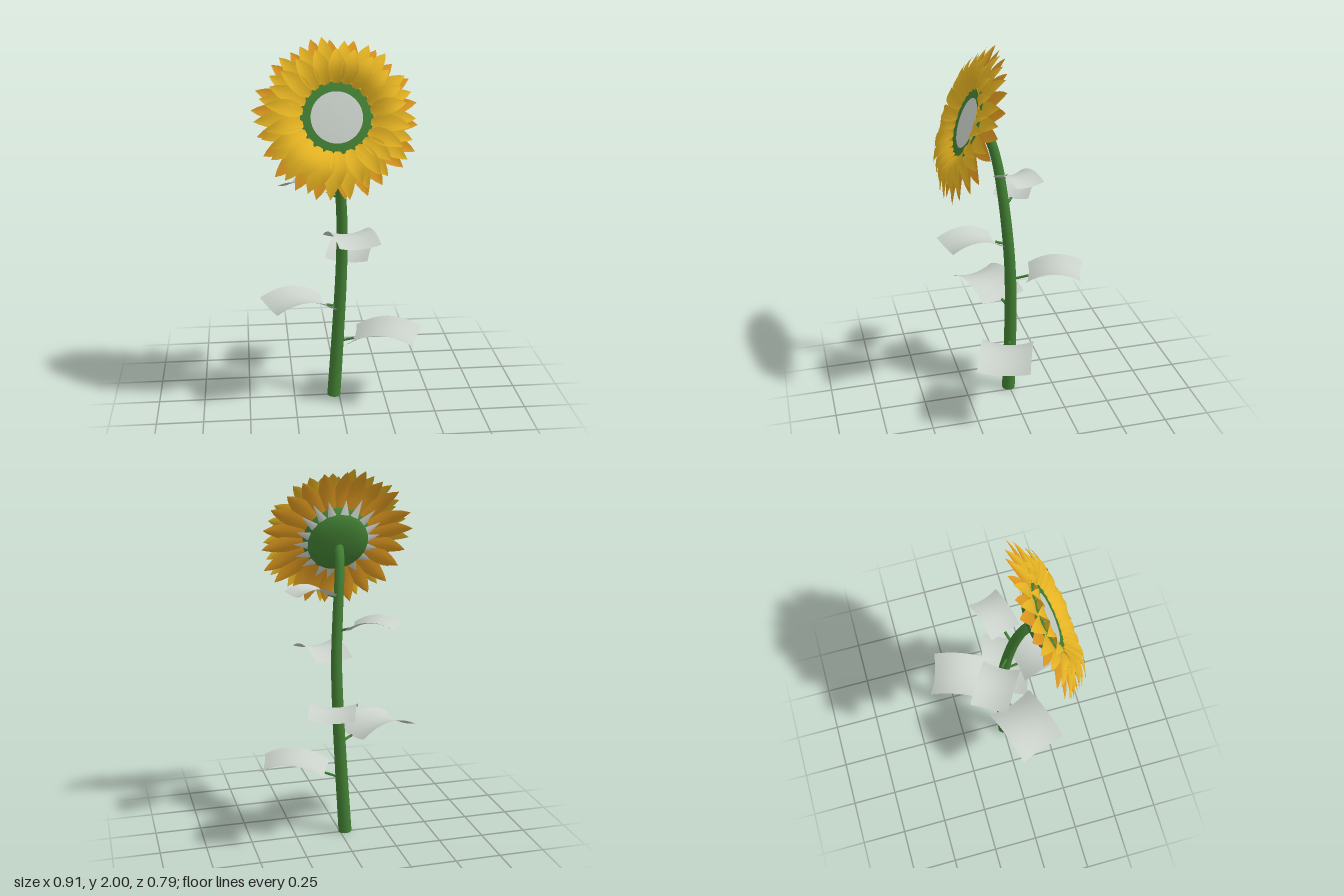
import * as THREE from 'three';
import { mergeGeometries } from 'three/addons/utils/BufferGeometryUtils.js';

const mat = (name, color, open) => {
  const m = new THREE.MeshStandardMaterial({ color });
  m.name = name;
  if (open) m.side = THREE.DoubleSide;
  return m;
};

// Small seeded generator for natural variation, -1..1
let seed = 7;
const jitter = () => {
  seed = (seed * 16807) % 2147483647;
  return (seed / 2147483647) * 2 - 1;
};

// Curved sheet: s runs across (-1..1), t runs along (0..1)
function sheet(across, along, fn) {
  const g = new THREE.PlaneGeometry(1, 1, across, along);
  const p = g.attributes.position;
  for (let i = 0; i < p.count; i++) p.setXYZ(i, ...fn(p.getX(i) * 2, p.getY(i) + 0.5));
  g.computeVertexNormals();
  return g;
}

// Ring of pointed blades around the local z axis
function bladeRing({ count, phase, r0, r1, width, z0, z1, bulge, taper }) {
  const blades = [];
  for (let i = 0; i < count; i++) {
    const end = r1 + jitter() * 0.015;
    const lift = jitter() * 0.008;
    const g = sheet(4, 8, (s, t) => {
      const w = taper ? width * (1 - t) : width * (Math.sin(Math.PI * t ** 0.85) ** 0.8 + 0.35 * (1 - t) ** 2);
      const z = z0 + (z1 - z0 + lift) * t + bulge * Math.sin(Math.PI * t) + s * s * w * 0.15;
      return [s * w, r0 + (end - r0) * t, z];
    });
    g.rotateZ(((i + phase) / count) * Math.PI * 2 + jitter() * 0.04);
    blades.push(g);
  }
  return mergeGeometries(blades);
}

export function createModel() {
  seed = 7;
  const root = new THREE.Group();
  root.name = 'flower';
  const green = mat('stem green', 0x427f33);
  const yellow = mat('petal yellow', 0xe6b422, true);
  const orange = mat('petal orange', 0xe09a20, true);
  const grey = mat('pale grey', 0xc9d0c9, true);
  const add = (parent, name, geometry, material) => {
    const m = new THREE.Mesh(geometry, material);
    m.name = name;
    parent.add(m);
    return m;
  };

  // Stem: bent tube, thinner toward the top
  const path = new THREE.CatmullRomCurve3([
    [-0.03, 0.002, 0.005], [-0.005, 0.4, 0], [0.012, 0.75, 0.004], [0.014, 1.0, 0.02],
    [0, 1.25, 0.045], [-0.015, 1.42, 0.07], [-0.026, 1.54, 0.105], [-0.032, 1.6, 0.15],
  ].map((p) => new THREE.Vector3(...p)));
  const tube = new THREE.TubeGeometry(path, 48, 1, 16);
  const pos = tube.attributes.position, nor = tube.attributes.normal;
  const v = new THREE.Vector3(), n = new THREE.Vector3();
  for (let i = 0; i < pos.count; i++) {
    const t = tube.attributes.uv.getX(i);
    n.fromBufferAttribute(nor, i);
    v.fromBufferAttribute(pos, i).addScaledVector(n, -1 + 0.037 - 0.012 * t);
    pos.setXYZ(i, v.x, v.y, v.z);
  }
  add(root, 'stem', tube, green);
  const cap = add(root, 'stemBase', new THREE.CircleGeometry(0.037, 16), green);
  cap.rotation.x = Math.PI / 2;
  cap.position.set(-0.03, 0.002, 0.005);

  // Leaves: [base x, base z, tip x, tip z, base height, width]
  const leaves = [
    [0.08, 0.03, 0.4, 0.14, 0.35, 0.28],
    [-0.075, 0.03, -0.375, 0.13, 0.555, 0.27],
    [0.05, -0.09, 0.14, -0.35, 0.755, 0.24],
    [0.015, 0.09, 0.07, 0.36, 0.965, 0.22],
    [-0.06, -0.02, -0.26, -0.14, 1.175, 0.195],
    [0.06, 0.03, 0.255, -0.03, 1.355, 0.165],
  ];
  for (const [bx, bz, tx, tz, y, width] of leaves) {
    const length = Math.hypot(tx - bx, tz - bz);
    const k = length / 0.34;
    const g = sheet(8, 12, (s, t) => {
      const height = k * (0.24 * t - 0.215 * t * t);
      const slope = (k * (0.24 - 0.43 * t)) / length;
      const fold = (0.1 * width * s * s) / Math.hypot(1, slope);
      return [s * width / 2, length * t - slope * fold, height + fold];
    });
    g.rotateX(-Math.PI / 2);
    const leaf = add(root, 'leaf', g, grey);
    leaf.position.set(bx, y, bz);
    leaf.rotation.y = Math.atan2(bx - tx, bz - tz);

    // Leaf stalk from the stem to the base of the blade
    const from = path.getPoint(0);
    for (let t = 0; t <= 1; t += 0.005) {
      const q = path.getPoint(t);
      if (q.y < y - 0.02) from.copy(q);
    }
    const to = new THREE.Vector3(bx, y + 0.004, bz);
    add(root, 'leafStalk', new THREE.TubeGeometry(new THREE.LineCurve3(from, to), 1, 0.007, 8), green);
  }

  // Flower head, tilted upward
  const head = new THREE.Group();
  head.name = 'flowerHead';
  head.position.set(-0.032, 1.63, 0.217);
  head.rotation.x = -0.376;
  root.add(head);

  const lathe = (pts) => new THREE.LatheGeometry(pts.map((p) => new THREE.Vector2(...p)), 40);
  const disc = lathe([[0.178, 0], [0.13, 0.004], [0.07, 0.007], [0, 0.008]]);
  add(head, 'seedDisc', disc.rotateX(Math.PI / 2), grey);
  const back = lathe([[0, -0.004], [0.18, -0.004], [0.185, 0.015], [0.178, 0.04], [0.15, 0.068], [0.11, 0.087], [0.06, 0.097], [0, 0.1]]);
  add(head, 'receptacle', back.rotateX(-Math.PI / 2), green);

  add(head, 'innerPetals', bladeRing({ count: 22, phase: 0, r0: 0.17, r1: 0.355, width: 0.038, z0: 0.004, z1: 0.028, bulge: 0.032 }), yellow);
  add(head, 'middlePetals', bladeRing({ count: 22, phase: 0.5, r0: 0.17, r1: 0.4, width: 0.042, z0: -0.008, z1: -0.015, bulge: 0.025 }), yellow);
  add(head, 'outerPetals', bladeRing({ count: 22, phase: 0.12, r0: 0.17, r1: 0.412, width: 0.044, z0: -0.022, z1: -0.035, bulge: 0.012 }), orange);
  add(head, 'sepals', bladeRing({ count: 18, phase: 0.3, r0: 0.165, r1: 0.25, width: 0.024, z0: -0.062, z1: -0.035, bulge: 0, taper: true }), grey);

  return root;
}
